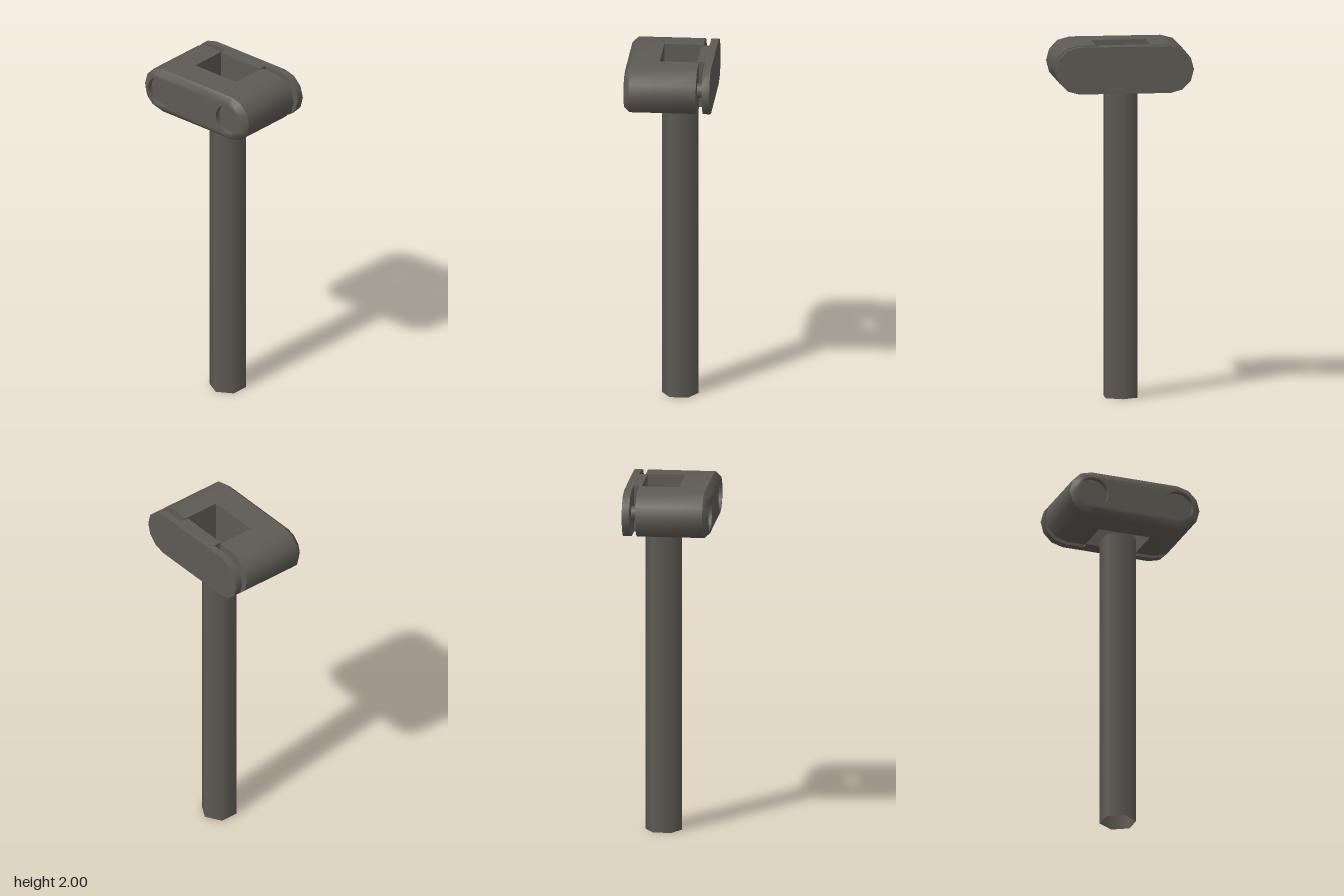
import * as THREE from 'three';
import { mergeGeometries, toCreasedNormals } from 'three/addons/utils/BufferGeometryUtils.js';

const R = 0.132;        // half height of the head
const ARM = 0.256;      // centre of each rounded end
const HEAD_Y = 1.868;
const SLOT = 0.152;     // half width of the slot
const STEPS = 6;        // facets per rounded end
const CHAMFER = 0.03;

// Points of a rounded end, from bottom to top, on the given side
function endArc(side) {
  const pts = [];
  for (let i = 0; i <= STEPS; i++) {
    const a = -Math.PI / 2 + (Math.PI * i) / STEPS;
    pts.push(new THREE.Vector2(side * (ARM + R * Math.cos(a)), R * Math.sin(a)));
  }
  return pts;
}

function stadium() {
  return new THREE.Shape([...endArc(1), ...endArc(-1).reverse()]);
}

// One arm beside the slot: flat inside, rounded outside
function armShape(side) {
  return new THREE.Shape([
    new THREE.Vector2(side * SLOT, -R), ...endArc(side), new THREE.Vector2(side * SLOT, R),
  ]);
}

function slab(shape, z0, z1) {
  const g = new THREE.ExtrudeGeometry(shape, { depth: z1 - z0, bevelEnabled: false, curveSegments: 16 });
  return g.translate(0, 0, z0);
}

// Front layer with two round recesses, its outer rim pulled in to a chamfer
function chamferedFront(z0, z1) {
  const shape = stadium();
  for (const s of [-1, 1]) {
    shape.holes.push(new THREE.Path().absarc(s * 0.253, 0, 0.086, 0, Math.PI * 2, true));
  }
  const g = slab(shape, z0, z1);
  const p = g.attributes.position;
  for (let i = 0; i < p.count; i++) {
    const cx = THREE.MathUtils.clamp(p.getX(i), -ARM, ARM);
    const dx = p.getX(i) - cx, dy = p.getY(i);
    if (p.getZ(i) > (z0 + z1) / 2 && Math.hypot(dx, dy) > 0.12) {
      const k = (R - CHAMFER) / R;
      p.setXY(i, cx + dx * k, dy * k);
    }
  }
  return g;
}

export function createModel() {
  const model = new THREE.Group();
  const metal = new THREE.MeshStandardMaterial({ color: 0x5e5a54 });
  metal.name = 'darkMetal';
  metal.side = THREE.DoubleSide;

  const add = (name, geometry, y, z = 0, x = 0) => {
    const mesh = new THREE.Mesh(geometry, metal);
    mesh.name = name;
    mesh.position.set(x, y, z);
    model.add(mesh);
  };

  // Open six-sided post
  add('post', new THREE.CylinderGeometry(0.103, 0.103, 1.736, 6, 1, true), 0.868, -0.048);

  // U-shaped clamp body around the slot
  const body = mergeGeometries([
    slab(armShape(1), -0.166, 0.054),
    slab(armShape(-1), -0.166, 0.054),
    slab(stadium(), 0.054, 0.21),
    chamferedFront(0.21, 0.241),
  ]);
  add('clampBody', toCreasedNormals(body, 0.9), HEAD_Y);

  // Back plate with a block that closes the slot
  add('backPlate', toCreasedNormals(slab(stadium(), -0.242, -0.2), 0.9), HEAD_Y);
  add('plateBlock', new THREE.BoxGeometry(0.29, R * 2, 0.045), HEAD_Y, -0.1775);

  // Bolts bridging the gap between plate and body
  for (const s of [-1, 1]) {
    const bolt = new THREE.CylinderGeometry(0.04, 0.04, 0.05, 24).rotateX(Math.PI / 2);
    add(s > 0 ? 'leftBolt' : 'rightBolt', bolt, HEAD_Y, -0.183, s * 0.253);
  }
  return model;
}
